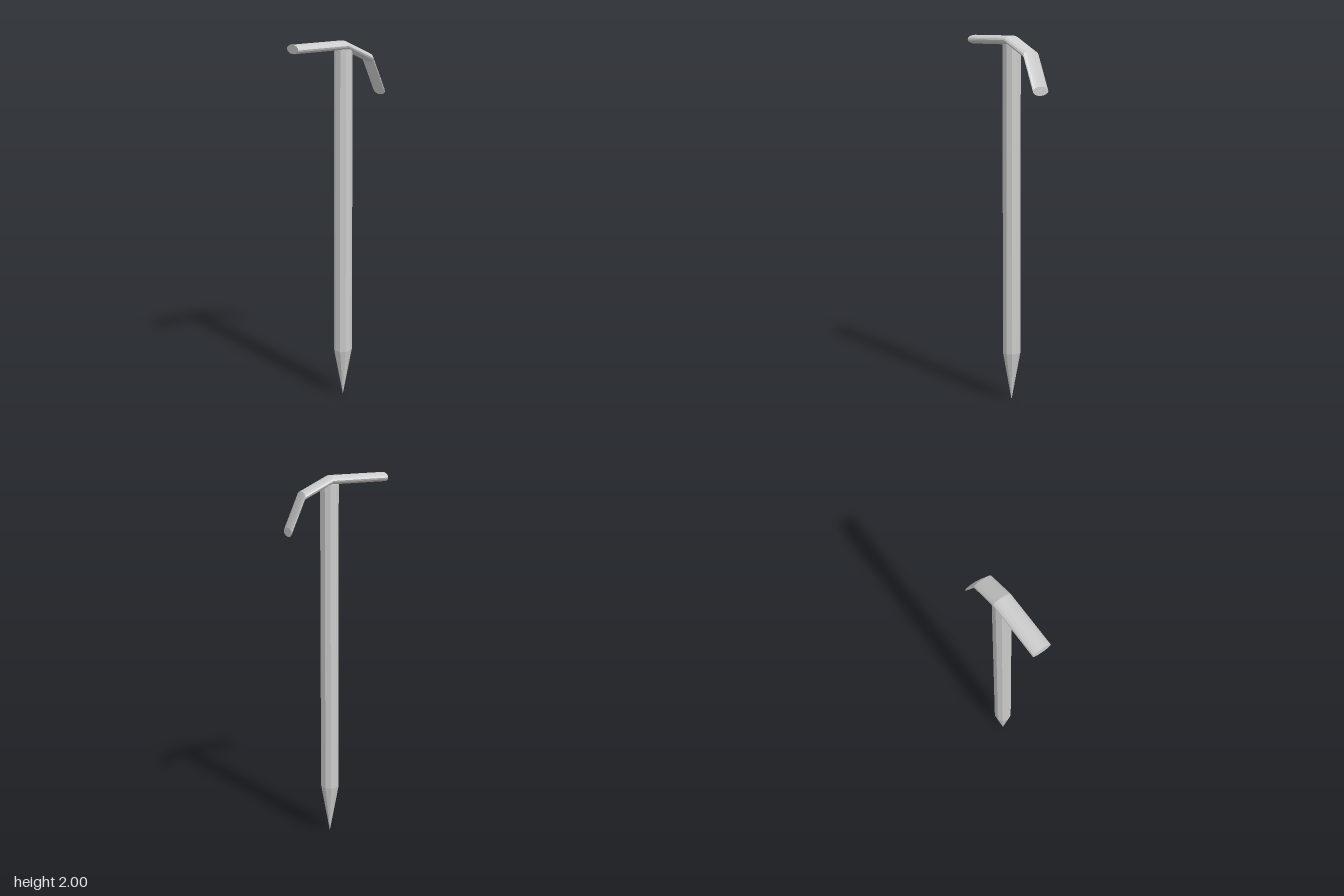
import * as THREE from 'three';

const material = new THREE.MeshStandardMaterial({ color: 0xcccccc, flatShading: true });

// Sweep an upright ellipse along a path of [z, y] stations, with closed ends
function sweepEllipse(path, rx, ry, sides) {
  const pos = [];
  const point = (i, j) => {
    const a = (j / sides) * Math.PI * 2;
    return [Math.cos(a) * rx, path[i][1] + Math.sin(a) * ry, path[i][0]];
  };
  const tri = (a, b, c) => pos.push(...a, ...b, ...c);
  const last = path.length - 1;
  const front = [0, path[0][1], path[0][0]];
  const back = [0, path[last][1], path[last][0]];
  for (let j = 0; j < sides; j++) {
    for (let i = 0; i < last; i++) {
      tri(point(i, j), point(i + 1, j), point(i, j + 1));
      tri(point(i + 1, j), point(i + 1, j + 1), point(i, j + 1));
    }
    tri(front, point(0, j), point(0, j + 1));
    tri(back, point(last, j + 1), point(last, j));
  }
  const geometry = new THREE.BufferGeometry();
  geometry.setAttribute('position', new THREE.Float32BufferAttribute(pos, 3));
  geometry.computeVertexNormals();
  return geometry;
}

export function createModel() {
  const group = new THREE.Group();
  const add = (name, geometry, y = 0, z = 0) => {
    const mesh = new THREE.Mesh(geometry, material);
    mesh.name = name;
    mesh.position.set(0, y, z);
    group.add(mesh);
  };
  const shaftZ = -0.04, tipHeight = 0.27, shaftTop = 1.955, radius = 0.05, sides = 10;

  // Straight shaft and its sharpened end
  const length = shaftTop - tipHeight;
  add('shaft', new THREE.CylinderGeometry(radius, radius, length, sides), tipHeight + length / 2, shaftZ);
  add('tip', new THREE.CylinderGeometry(radius, 0, tipHeight, sides, 1, true), tipHeight / 2, shaftZ);

  // Flattened head: straight to the front, hooked down at the back
  const path = [[0.28, 1.976], [-0.04, 1.976], [-0.2, 1.9], [-0.28, 1.716]];
  add('hookedHead', sweepEllipse(path, 0.0525, 0.024, 16));

  return group;
}
